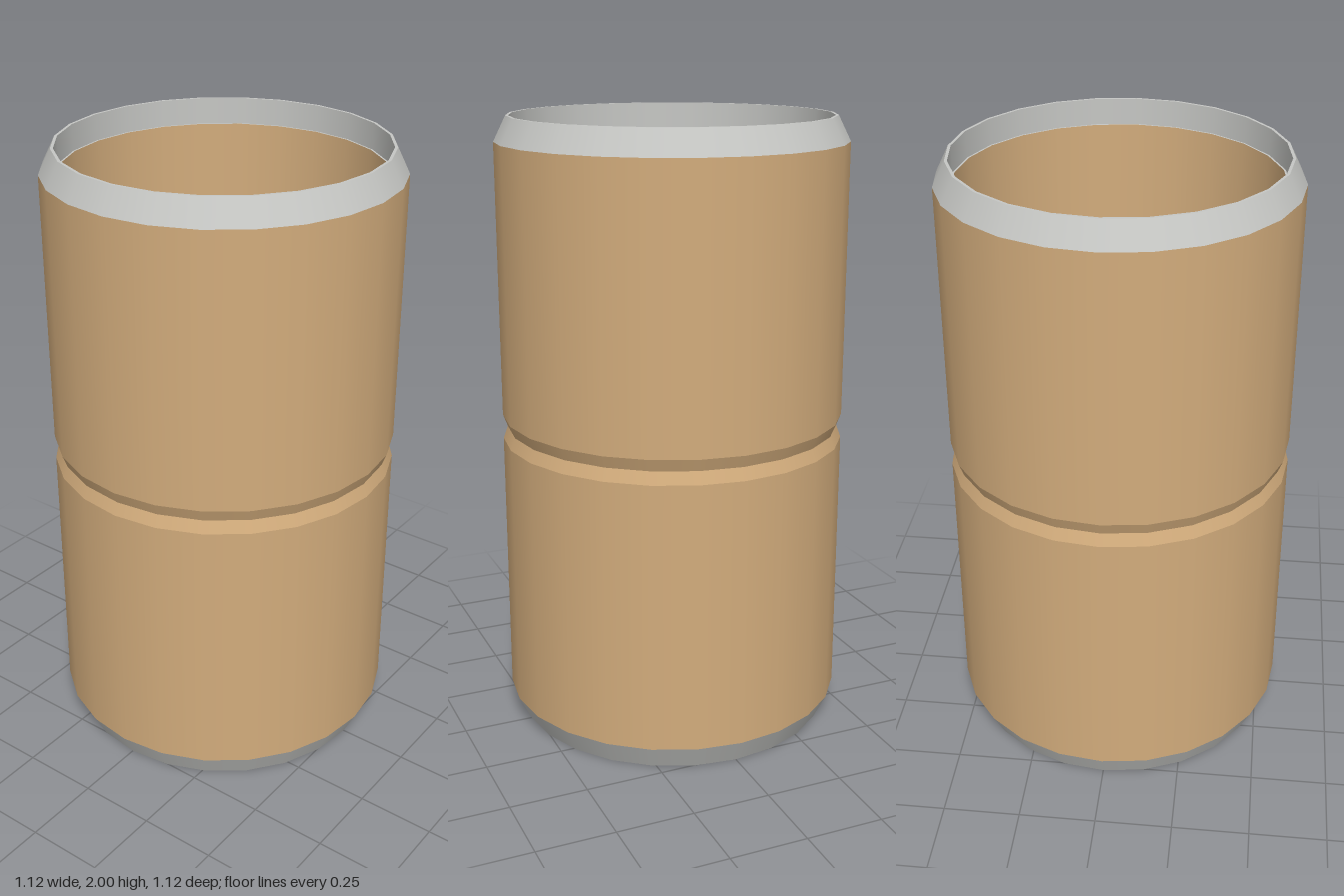
import * as THREE from 'three';
import { mergeGeometries } from 'three/addons/utils/BufferGeometryUtils.js';

const SIDES = 24;
const HEIGHT = 2;

// Revolves each [radius, y] polyline on its own, so edges between polylines stay sharp.
// Polylines run up the outside, inward over the top and down the inside.
function turned(name, material, profiles, flip) {
  const parts = profiles.map((profile) => {
    let pts = profile.map(([r, y]) => new THREE.Vector2(r, flip ? HEIGHT - y : y));
    if (flip) pts = pts.reverse();
    return new THREE.LatheGeometry(pts, SIDES);
  });
  const mesh = new THREE.Mesh(mergeGeometries(parts), material);
  mesh.name = name;
  return mesh;
}

export function createModel() {
  const tan = new THREE.MeshStandardMaterial({ color: 0xd2ac7c });
  tan.name = 'tan';
  const grey = new THREE.MeshStandardMaterial({ color: 0xc6c7c4 });
  grey.name = 'light grey';

  const model = new THREE.Group();
  model.name = 'tube';

  // The two halves mirror each other about the middle seam
  for (const flip of [false, true]) {
    const half = new THREE.Group();
    half.name = flip ? 'lowerHalf' : 'upperHalf';

    // Tan wall: pinched seam outside, plain bore with a thin lip at the seam inside
    half.add(turned('wall', tan, [
      [[0.545, 1], [0.56, 1.04]],
      [[0.56, 1.04], [0.56, 1.92]],
      [[0.505, 1.915], [0.505, 1.01]],
      [[0.505, 1.01], [0.48, 1.01]],
      [[0.48, 1.01], [0.48, 1]],
    ], flip));

    // Grey end band: outer bevel, flat rim, inner face and the small step to the bore
    half.add(turned('endBand', grey, [
      [[0.56, 1.92], [0.52, 2]],
      [[0.52, 2], [0.511, 2]],
      [[0.511, 2], [0.511, 1.915]],
      [[0.511, 1.915], [0.505, 1.915]],
    ], flip));

    model.add(half);
  }
  return model;
}
